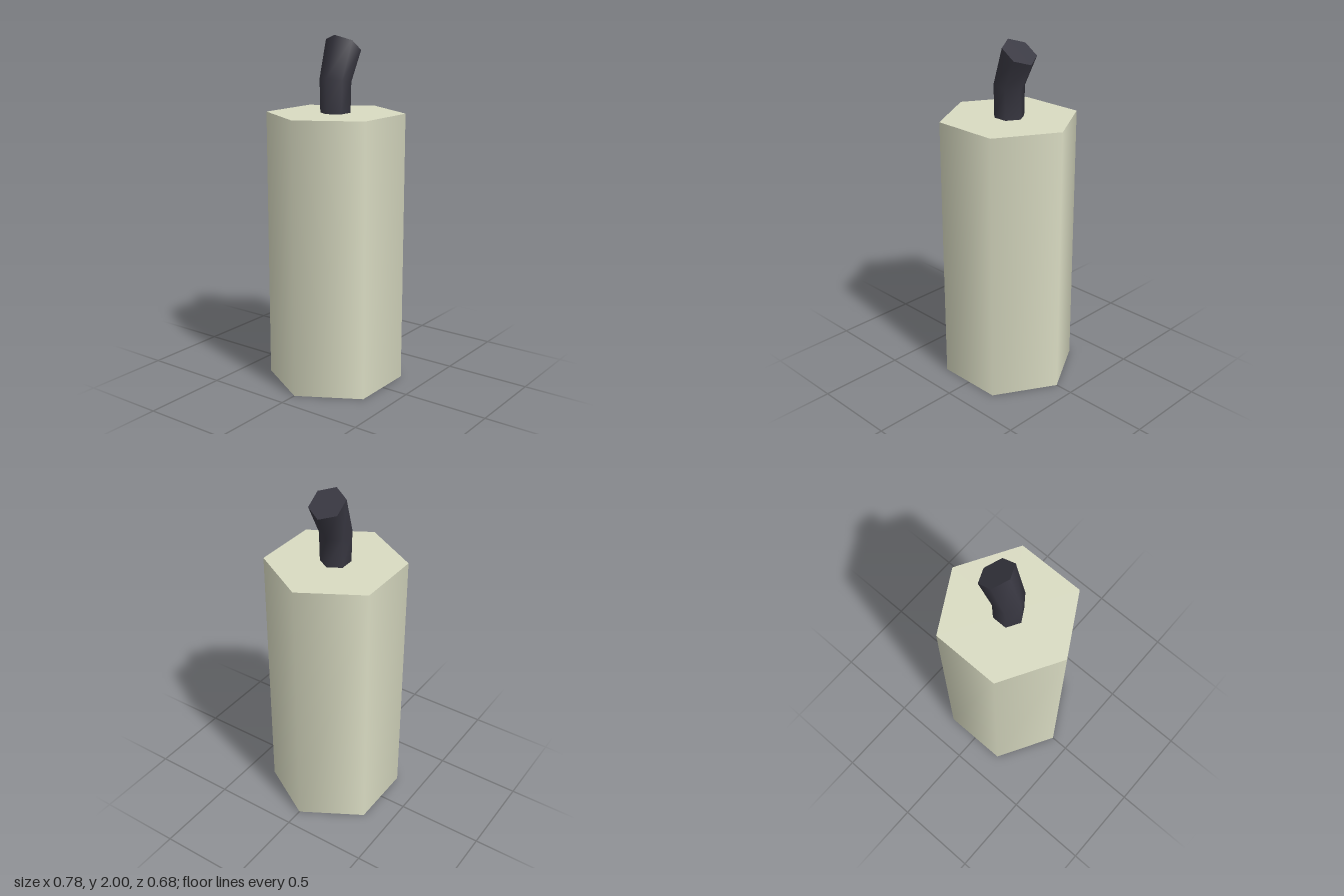
import * as THREE from 'three';

const SIDES = 6;

// Smooth-sided tube through tilted hexagonal rings; the last ring gets a flat cap.
// Ring: centre x, centre y, half width in x, drop towards +x, radius in z.
function ringPoint([cx, cy, rx, drop, rz], i) {
  const a = (i % SIDES) / SIDES * Math.PI * 2;
  return [cx + rx * Math.cos(a), cy - drop * Math.cos(a), rz * Math.sin(a)];
}

function geometryFrom(points, index) {
  const g = new THREE.BufferGeometry();
  g.setAttribute('position', new THREE.Float32BufferAttribute(points.flat(), 3));
  g.setIndex(index);
  g.computeVertexNormals();
  return g;
}

export function createModel() {
  const model = new THREE.Group();
  const wax = new THREE.MeshStandardMaterial({ color: 0xd9dbc2 });
  wax.name = 'wax';
  const char = new THREE.MeshStandardMaterial({ color: 0x383741 });
  char.name = 'charred wick';

  // Candle body: hexagonal with smooth sides, corners on the x axis
  const height = 1.57;
  const body = new THREE.Mesh(
    new THREE.CylinderGeometry(0.392, 0.392, height, SIDES, 1, false, Math.PI / 2), wax);
  body.name = 'candleBody';
  body.position.y = height / 2;
  model.add(body);

  // Bent wick: upright, then leaning towards +x and widening
  const rings = [
    [0, height, 0.086, 0, 0.085],
    [0, 1.75, 0.086, 0.017, 0.09],
    [0.076, 1.942, 0.086, 0.057, 0.104],
  ];
  const points = [], sideIndex = [], capIndex = [];
  rings.forEach((ring, r) => {
    for (let i = 0; i < SIDES; i++) {
      points.push(ringPoint(ring, i));
      if (r === rings.length - 1) continue;
      const a = r * SIDES + i, b = r * SIDES + (i + 1) % SIDES;
      sideIndex.push(a, a + SIDES, b, b, a + SIDES, b + SIDES);
    }
  });
  for (let i = 1; i < SIDES - 1; i++) capIndex.push(0, i + 1, i);

  const wick = new THREE.Group();
  wick.name = 'wick';
  const sides = new THREE.Mesh(geometryFrom(points, sideIndex), char);
  sides.name = 'wickSides';
  const tip = new THREE.Mesh(geometryFrom(points.slice(-SIDES), capIndex), char);
  tip.name = 'wickTip';
  wick.add(sides, tip);
  model.add(wick);

  return model;
}
